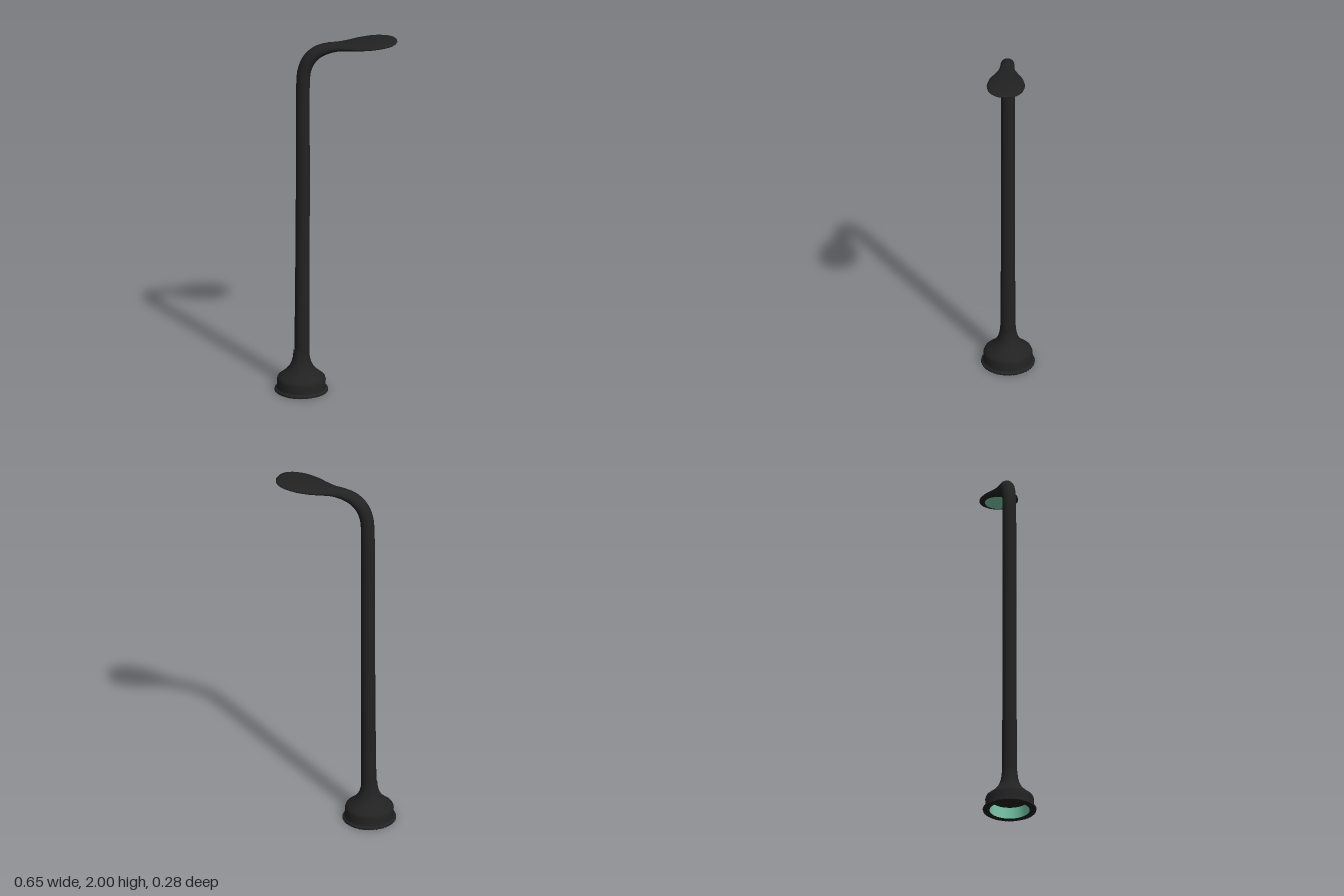
import * as THREE from 'three';
import { toCreasedNormals } from 'three/addons/utils/BufferGeometryUtils.js';

const BASE_X = -0.183;

// pole, bend and lamp head: x, y, half thickness, half width
const stations = [
  [-0.18, 0.15, 0.041, 0.041], [-0.178, 0.6, 0.038, 0.038], [-0.175, 1.2, 0.037, 0.037],
  [-0.174, 1.74, 0.036, 0.036], [-0.168, 1.81, 0.036, 0.036], [-0.145, 1.872, 0.036, 0.036],
  [-0.1, 1.92, 0.034, 0.036], [-0.04, 1.945, 0.029, 0.037], [0.01, 1.954, 0.023, 0.044],
  [0.06, 1.961, 0.021, 0.064], [0.12, 1.969, 0.021, 0.089], [0.19, 1.978, 0.02, 0.101],
  [0.25, 1.984, 0.016, 0.094], [0.29, 1.987, 0.012, 0.075], [0.315, 1.988, 0.007, 0.044],
  [0.325, 1.988, 0.001, 0.002],
];
const path = new THREE.CatmullRomCurve3(stations.map(([x, y]) => new THREE.Vector3(x, y, 0)));
const sizes = new THREE.CatmullRomCurve3(stations.map(([, , t, w]) => new THREE.Vector3(t, w, 0)),
  false, 'catmullrom', 0.4);

// elliptical cross-sections swept along the path
function sweptBody(rows = 120, sides = 32) {
  const pos = [], index = [];
  for (let i = 0; i <= rows; i++) {
    const u = i / rows, c = path.getPoint(u), d = path.getTangent(u), s = sizes.getPoint(u);
    for (let j = 0; j < sides; j++) {
      const a = (j / sides) * Math.PI * 2, k = s.x * Math.cos(a);
      pos.push(c.x - d.y * k, c.y + d.x * k, s.y * Math.sin(a));
      if (i === rows) continue;
      const p = i * sides + j, q = i * sides + (j + 1) % sides;
      index.push(p, q, q + sides, p, q + sides, p + sides);
    }
  }
  const g = new THREE.BufferGeometry();
  g.setAttribute('position', new THREE.Float32BufferAttribute(pos, 3));
  g.setIndex(index);
  g.computeVertexNormals();
  return g;
}

// underside height of the lamp head at x, z
function underside(x, z) {
  let lo = 0.4, hi = 1;
  for (let i = 0; i < 24; i++) {
    const mid = (lo + hi) / 2;
    if (path.getPoint(mid).x < x) lo = mid; else hi = mid;
  }
  const s = sizes.getPoint(lo);
  return path.getPoint(lo).y - s.x * Math.sqrt(Math.max(0, 1 - (z / s.y) ** 2));
}

// oval plate that follows the underside of the head
function lensPlate() {
  const g = new THREE.RingGeometry(0, 1, 40, 8).rotateX(Math.PI / 2);
  const p = g.attributes.position;
  for (let i = 0; i < p.count; i++) {
    const x = 0.178 + 0.11 * p.getX(i), z = 0.075 * p.getZ(i);
    p.setXYZ(i, x, underside(x, z) - 0.003, z);
  }
  g.computeVertexNormals();
  return g;
}

const lathe = (profile) =>
  new THREE.LatheGeometry(profile.map(([r, y]) => new THREE.Vector2(r, y)), 96);

// bell-shaped foot with a finely notched bottom flange
function footShell() {
  const g = lathe([[0.106, 0], [0.142, 0], [0.142, 0.009], [0.131, 0.016], [0.128, 0.03],
    [0.129, 0.062], [0.124, 0.075], [0.108, 0.088], [0.085, 0.108], [0.066, 0.13],
    [0.053, 0.155], [0.045, 0.185], [0.04, 0.23]]);
  const p = g.attributes.position;
  for (let i = 0; i < p.count; i++) {
    const x = p.getX(i), z = p.getZ(i);
    if (Math.hypot(x, z) < 0.14) continue;
    const k = Math.cos(Math.atan2(z, x) * 48) > 0 ? 1 : 0.978;
    p.setXYZ(i, x * k, p.getY(i), z * k);
  }
  return toCreasedNormals(g, 0.6);
}

export function createModel() {
  const black = new THREE.MeshStandardMaterial({ color: 0x222222 });
  black.name = 'black metal';
  const mint = new THREE.MeshStandardMaterial({ color: 0x7fd4b4 });
  mint.name = 'mint';

  const group = new THREE.Group();
  group.name = 'streetLamp';
  const add = (name, geometry, material, x = 0) => {
    const mesh = new THREE.Mesh(geometry, material);
    mesh.name = name;
    mesh.position.x = x;
    group.add(mesh);
  };

  add('poleAndLampHead', sweptBody(), black);
  add('lens', lensPlate(), mint);
  add('foot', footShell(), black, BASE_X);
  // hollow underside of the foot
  add('footInnerWall', lathe([[0.1, 0.06], [0.106, 0]]), mint, BASE_X);
  add('footCeiling', lathe([[0, 0.06], [0.1, 0.06]]), black, BASE_X);
  return group;
}
